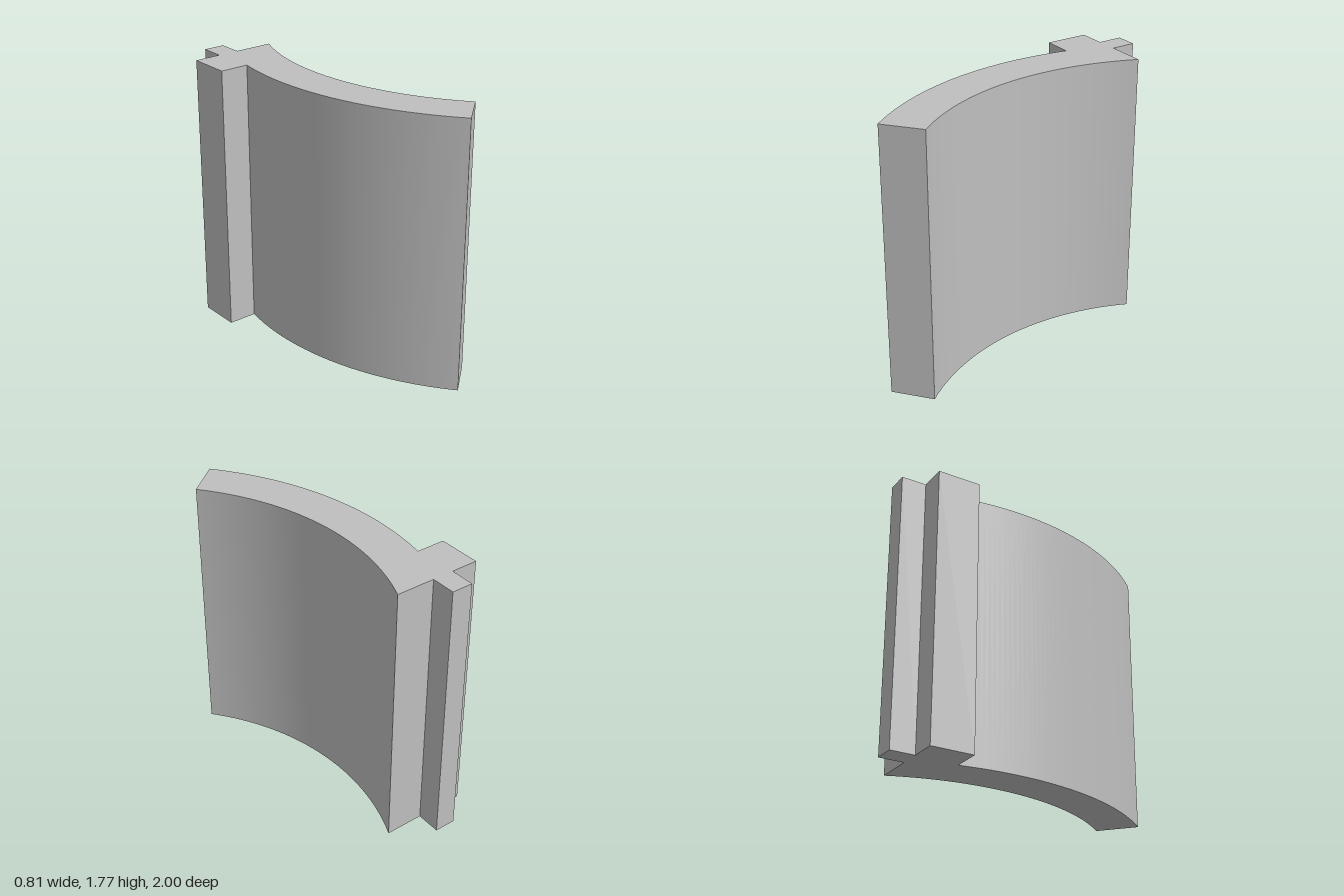
import * as THREE from 'three';
import { toCreasedNormals } from 'three/addons/utils/BufferGeometryUtils.js';

const HEIGHT = 1.77;
const CENTER = { x: 1.62, y: 0.2 }; // shared centre of both arcs (profile y = -z)
const INNER = 1.59;
const OUTER = 1.87;
const END = Math.PI * 220 / 180; // radial cut at the front end

export function createModel() {
  const group = new THREE.Group();
  group.name = 'curvedWallSection';

  const grey = new THREE.MeshStandardMaterial({ color: 0xbfbfbf });
  grey.name = 'plain grey';

  // Plan profile: curved wall, rear side block and locating tongue
  const innerTop = Math.PI - Math.asin((0.84 - CENTER.y) / INNER);
  const outerTop = Math.PI - Math.asin((0.56 - CENTER.y) / OUTER);
  const profile = new THREE.Shape();
  profile.moveTo(CENTER.x + INNER * Math.cos(END), CENTER.y + INNER * Math.sin(END));
  profile.absarc(CENTER.x, CENTER.y, INNER, END, innerTop, true);
  for (const [x, y] of [
    [-0.09, 0.84], [-0.09, 1], [-0.23, 1], [-0.23, 0.84], // tongue
    [-0.405, 0.84], [-0.405, 0.56], // side block
  ]) profile.lineTo(x, y);
  profile.absarc(CENTER.x, CENTER.y, OUTER, outerTop, END, false);
  profile.closePath();

  // Extrude upwards, smooth along the arcs and sharp at the corners
  const solid = new THREE.ExtrudeGeometry(profile, {
    depth: HEIGHT, bevelEnabled: false, curveSegments: 24,
  });
  solid.rotateX(-Math.PI / 2);
  const wall = new THREE.Mesh(toCreasedNormals(solid, Math.PI / 9), grey);
  wall.name = 'curvedWallWithTongue';
  group.add(wall);

  return group;
}
